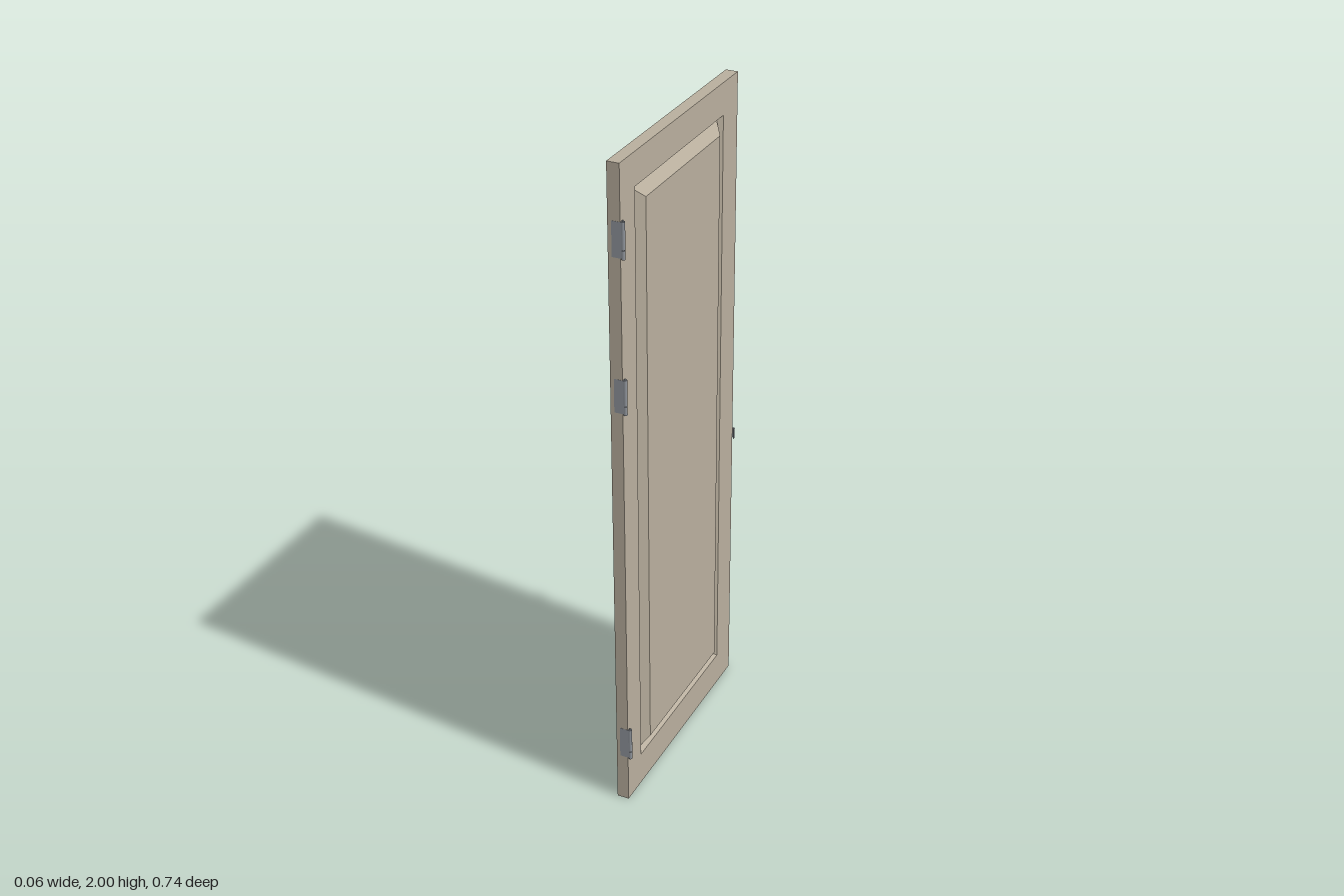
import * as THREE from 'three';

const wood = new THREE.MeshStandardMaterial({ color: 0xb8ae9d });
const metal = new THREE.MeshStandardMaterial({ color: 0x8f949b });

// Rectangle in the door plane at depth x: corners run counter-clockwise seen from +x
function rect(x, cy, cz, hy, hz) {
  return [[-1, -1], [1, -1], [1, 1], [-1, 1]].map(([a, b]) => [x, cy + a * hy, cz + b * hz]);
}

// Joins successive rectangles with flat faces; ends are either capped or joined to each other
function loft(rings, closed) {
  const pos = [];
  const quad = (a, b, c, d) => pos.push(...a, ...b, ...c, ...a, ...c, ...d);
  const count = closed ? rings.length : rings.length - 1;
  for (let i = 0; i < count; i++) {
    const p = rings[i], q = rings[(i + 1) % rings.length];
    for (let k = 0; k < 4; k++) {
      const n = (k + 1) % 4;
      quad(p[k], q[k], q[n], p[n]);
    }
  }
  if (!closed) {
    quad(...rings[0]);
    quad(...rings[rings.length - 1].slice().reverse());
  }
  const g = new THREE.BufferGeometry();
  g.setAttribute('position', new THREE.Float32BufferAttribute(pos, 3));
  g.computeVertexNormals();
  return g;
}

function add(parent, name, geometry, material, x = 0, y = 0, z = 0) {
  const mesh = new THREE.Mesh(geometry, material);
  mesh.name = name;
  mesh.position.set(x, y, z);
  parent.add(mesh);
  return mesh;
}

export function createModel() {
  const door = new THREE.Group();
  door.name = 'door';

  // Levels through the thickness
  const front = 0.016, back = -0.02;
  const outer = x => rect(x, 1, 0.004, 1, 0.364);
  const lip = x => rect(x, 1.005, 0.009, 0.901, 0.274);
  const groove = x => rect(x, 1.005, 0.009, 0.888, 0.261);
  const field = x => rect(x, 1.005, 0.009, 0.859, 0.231);

  // Frame with an opening bevelled on both faces
  add(door, 'frame', loft([groove(0.002), lip(front), outer(front),
    outer(back), lip(back), groove(-0.006)], true), wood);

  // Raised panel with sloping borders, standing proud of the frame
  add(door, 'raisedPanel', loft([field(0.026), groove(0.002),
    groove(-0.006), field(-0.03)], false), wood);

  // Three hinges: knuckles around a pin, and a leaf let into the edge
  for (const y of [0.203, 1.345, 1.793]) {
    const hinge = new THREE.Group();
    hinge.name = 'hinge';
    hinge.position.set(0.022, y, 0.364);
    add(hinge, 'lowerKnuckle', new THREE.CylinderGeometry(0.0055, 0.0055, 0.025, 16), metal, 0, -0.0405, 0);
    add(hinge, 'upperKnuckle', new THREE.CylinderGeometry(0.0055, 0.0055, 0.077, 16), metal, 0, 0.0125, 0);
    add(hinge, 'pin', new THREE.CylinderGeometry(0.003, 0.003, 0.107, 12), metal);
    add(hinge, 'leaf', new THREE.BoxGeometry(0.03, 0.1, 0.001), metal, -0.016, 0, 0.004);
    door.add(hinge);
  }

  // Latch on the opposite edge: face plate, wedge bolt and angled strike lip
  const latch = new THREE.Group();
  latch.name = 'latch';
  latch.position.set(0, 0.865, -0.36);
  add(latch, 'facePlate', new THREE.BoxGeometry(0.02, 0.18, 0.001), metal, -0.001, 0, -0.0004);
  const wedge = new THREE.Shape([[-0.006, 0], [0.002, 0], [0.002, 0.012]]
    .map(p => new THREE.Vector2(...p)));
  const bolt = add(latch, 'bolt', new THREE.ExtrudeGeometry(wedge,
    { depth: 0.03, bevelEnabled: false }), metal, 0, 0.015, 0);
  bolt.rotation.x = -Math.PI / 2;
  bolt.position.y = -0.015;
  add(latch, 'strikePlate', new THREE.BoxGeometry(0.013, 0.034, 0.001), metal, 0.017, 0, -0.0005);
  add(latch, 'strikeLip', new THREE.BoxGeometry(0.001, 0.034, 0.009), metal, 0.023, 0, -0.0045 + 0.009);
  door.add(latch);

  return door;
}
